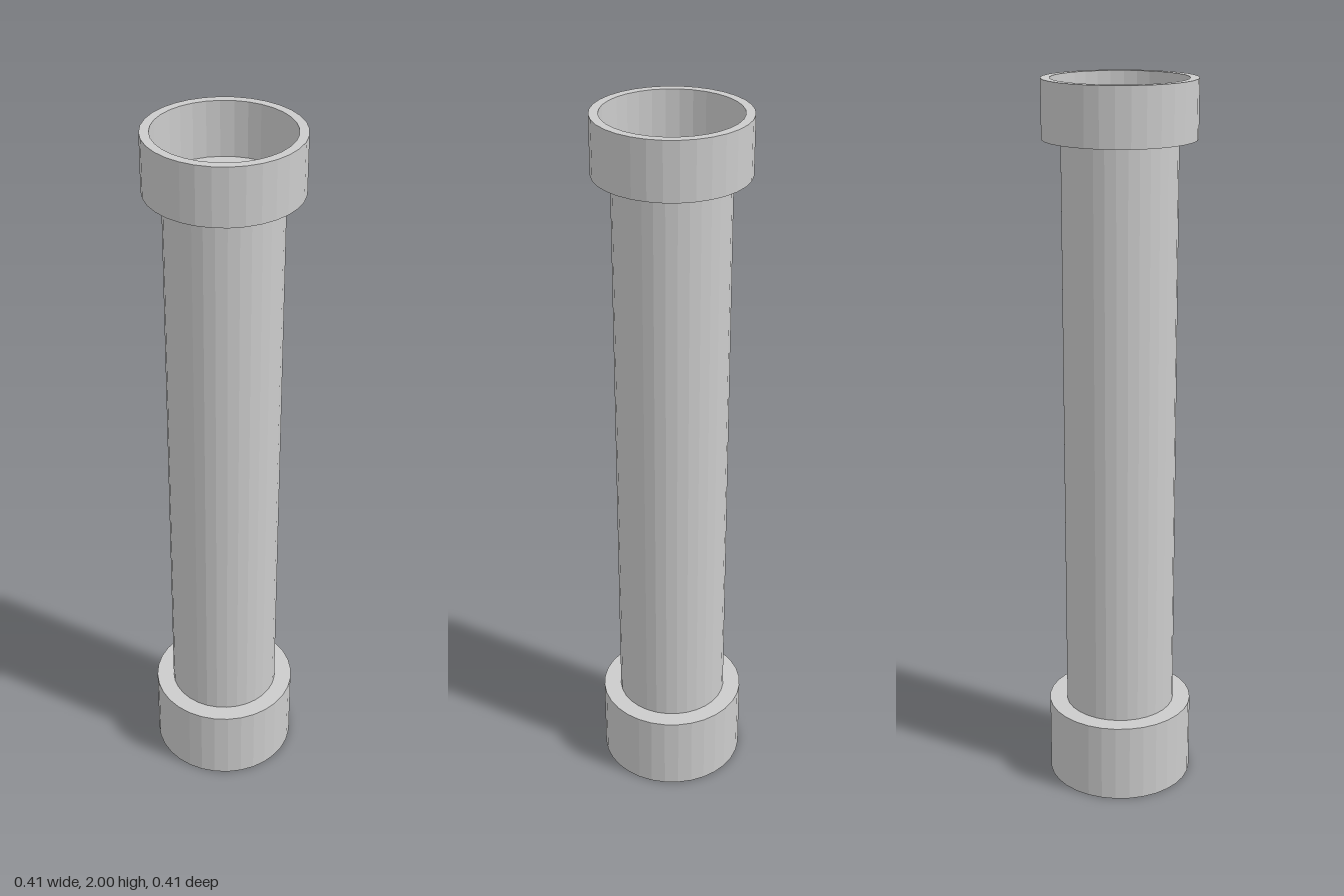
import * as THREE from 'three';

const SIDES = 32;
const material = new THREE.MeshStandardMaterial({ color: 0xcccccc, flatShading: true });

// Turned solid from [radius, height] points, listed so that faces point outward
function turned(name, points) {
  const profile = points.map(([r, y]) => new THREE.Vector2(r, y));
  const mesh = new THREE.Mesh(new THREE.LatheGeometry(profile, SIDES), material);
  mesh.name = name;
  return mesh;
}

export function createModel() {
  const group = new THREE.Group();
  group.name = 'column';
  const outer = 0.205, inner = 0.181, tube = 0.155;

  // Bottom collar: cup opening downward
  group.add(turned('bottomCollar', [
    [0, 0.155], [inner, 0.155], [inner, 0], [outer, 0], [outer, 0.225], [tube, 0.225],
  ]));

  // Long shaft between the collars
  group.add(turned('shaft', [[tube, 0.225], [tube, 1.845]]));

  // Top collar: cup opening upward
  group.add(turned('topCollar', [
    [tube, 1.845], [outer, 1.845], [outer, 2], [inner, 2], [inner, 1.85], [0, 1.85],
  ]));

  return group;
}
